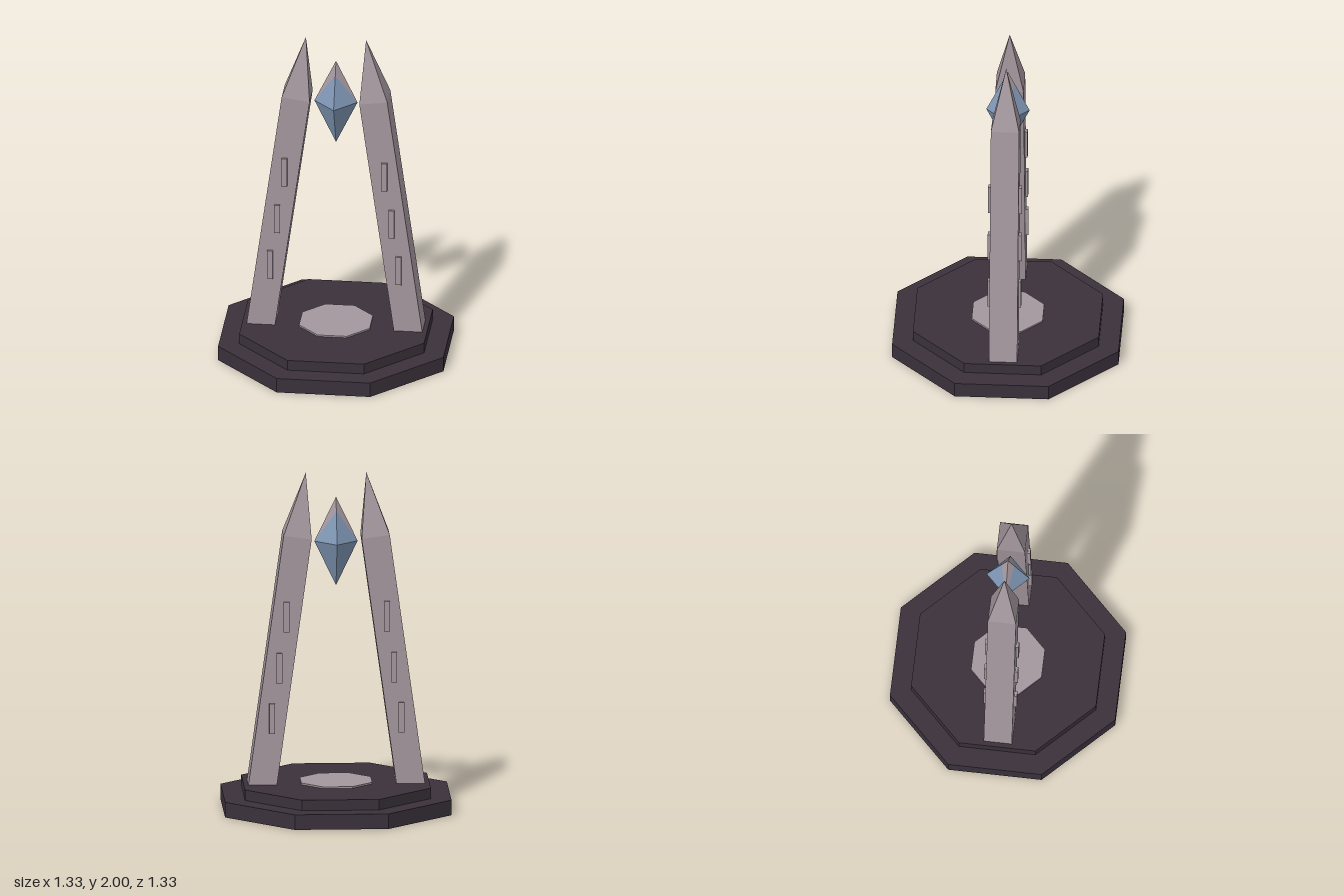
import * as THREE from 'three';

const stone = new THREE.MeshStandardMaterial({ color: 0xa3979d });
stone.name = 'paleStone';
const dark = new THREE.MeshStandardMaterial({ color: 0x3a313b });
dark.name = 'darkStone';
const blue = new THREE.MeshStandardMaterial({ color: 0x8097b5 });
blue.name = 'blueCrystal';

// Gives every face its own flat normal
function faceted(geometry) {
  const g = geometry.index ? geometry.toNonIndexed() : geometry;
  g.computeVertexNormals();
  return g;
}

function add(parent, name, geometry, material, x = 0, y = 0, z = 0) {
  const mesh = new THREE.Mesh(faceted(geometry), material);
  mesh.name = name;
  mesh.position.set(x, y, z);
  parent.add(mesh);
  return mesh;
}

// Octagonal slab with flat sides facing the axes
function slab(parent, name, apothem, y0, y1, material) {
  const r = apothem / Math.cos(Math.PI / 8);
  const g = new THREE.CylinderGeometry(r, r, y1 - y0, 8).rotateY(Math.PI / 8);
  add(parent, name, g, material, 0, (y0 + y1) / 2, 0);
}

function triangles(list) {
  const g = new THREE.BufferGeometry();
  g.setAttribute('position', new THREE.Float32BufferAttribute(list.flat(2), 3));
  return g;
}

// Leaning obelisk with pointed cap and raised plates on both faces
function pillar(side) {
  const group = new THREE.Group();
  group.name = side > 0 ? 'leftPillar' : 'rightPillar';
  const tilt = 0.138, half = 0.083, topX = 0.229, topY = 1.628, length = 1.54;

  const leaning = new THREE.Group();
  leaning.name = 'obelisk';
  leaning.position.set(side * topX, topY, 0);
  leaning.rotation.z = side * tilt;
  add(leaning, 'shaft', new THREE.BoxGeometry(half * 2, length, half * 2), stone, 0, -length / 2, 0);
  const cap = new THREE.ConeGeometry(half * Math.SQRT2, 0.375, 4, 1, true).rotateY(Math.PI / 4);
  add(leaning, 'cap', cap, stone, 0, 0.1875, 0);
  group.add(leaning);

  for (const y of [0.55, 0.85, 1.155]) {
    const x = side * (topX + (topY - y) * Math.tan(tilt));
    for (const face of [1, -1]) {
      add(group, 'runePlate', new THREE.BoxGeometry(0.034, 0.18, 0.03), stone, x, y, face * 0.084);
    }
  }
  return group;
}

// Floating eight-sided crystal with pale bands beside its upper side ridges
function crystal() {
  const group = new THREE.Group();
  group.name = 'crystal';
  const r = 0.127, h = 0.264, t = 0.3;
  const body = [], bands = [];
  for (const sx of [1, -1]) {
    for (const sz of [1, -1]) {
      const X = [sx * r, 0, 0], Z = [0, 0, sz * r], top = [0, h, 0], bottom = [0, -h, 0];
      const split = [0, h * (1 - t), sz * r * t];
      const turn = (a, b, c) => (sx * sz > 0 ? [a, b, c] : [a, c, b]);
      bands.push(turn(top, split, X));
      body.push(turn(split, Z, X), turn(bottom, X, Z));
    }
  }
  add(group, 'crystalBody', triangles(body), blue);
  add(group, 'crystalBands', triangles(bands), stone);
  group.position.y = 1.59;
  return group;
}

export function createModel() {
  const model = new THREE.Group();
  model.name = 'crystalGate';
  slab(model, 'lowerBase', 0.664, 0, 0.09, dark);
  slab(model, 'upperBase', 0.545, 0.09, 0.153, dark);
  slab(model, 'centreDisc', 0.208, 0.15, 0.163, stone);
  model.add(pillar(1), pillar(-1), crystal());
  return model;
}
